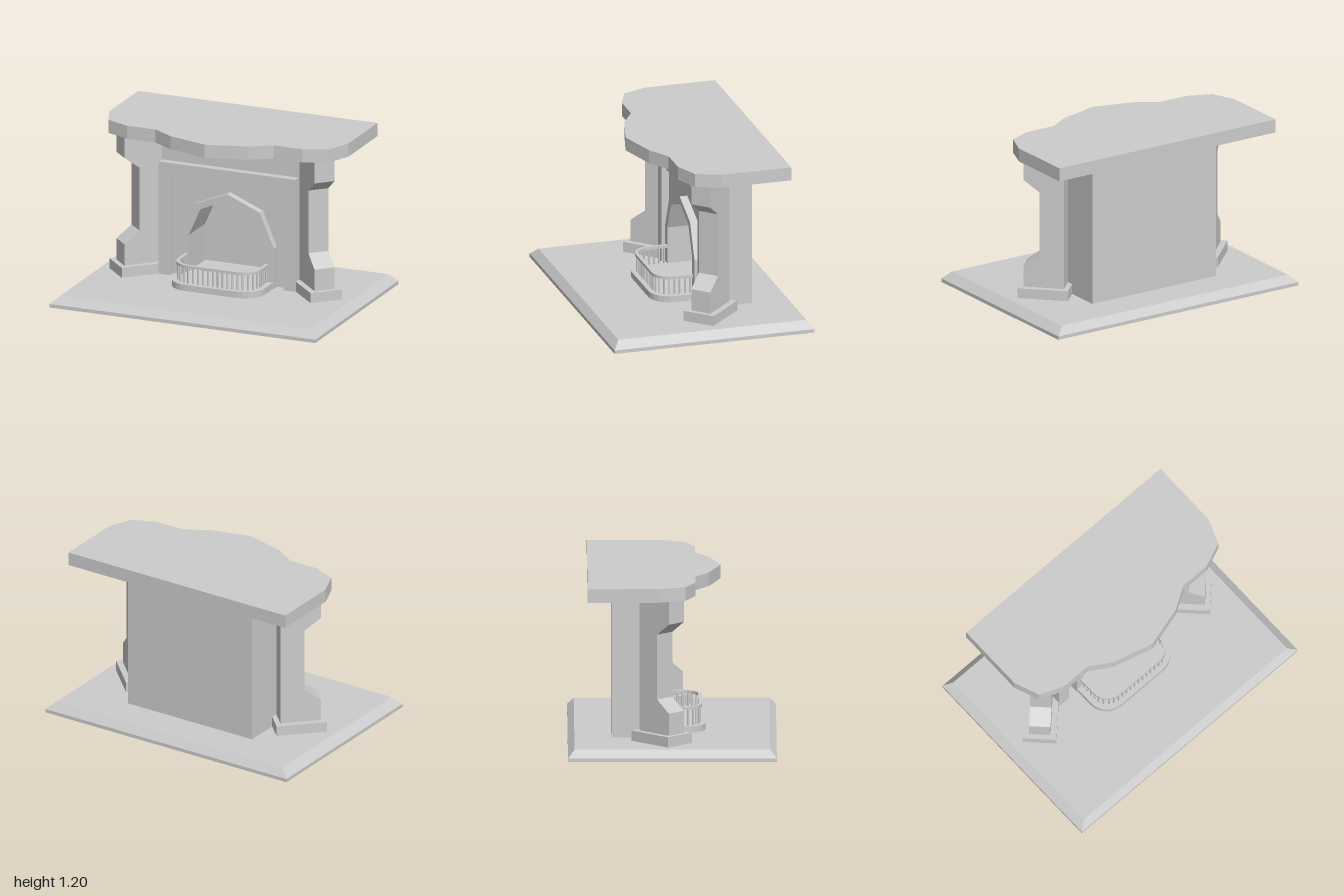
import * as THREE from 'three';

const mat = new THREE.MeshStandardMaterial({ color: 0xcccccc, flatShading: true });

function add(parent, name, geometry) {
  const mesh = new THREE.Mesh(geometry, mat);
  mesh.name = name;
  parent.add(mesh);
  return mesh;
}

// Box given by its minimum and maximum corners
function block(x0, x1, y0, y1, z0, z1) {
  return new THREE.BoxGeometry(x1 - x0, y1 - y0, z1 - z0)
    .translate((x0 + x1) / 2, (y0 + y1) / 2, (z0 + z1) / 2);
}

const shapeOf = (pts) => new THREE.Shape(pts.map(([x, y]) => new THREE.Vector2(x, y)));

// Upright outline in x and y, extruded from z0 to z1
function panel(pts, z0, z1) {
  return new THREE.ExtrudeGeometry(shapeOf(pts), { depth: z1 - z0, bevelEnabled: false }).translate(0, 0, z0);
}

// Flat outline in x and z, extruded from y0 to y1
function slab(pts, y0, y1) {
  return new THREE.ExtrudeGeometry(shapeOf(pts), { depth: y1 - y0, bevelEnabled: false })
    .rotateX(Math.PI / 2).translate(0, y1, 0);
}

// Adds the mirror image of an open outline given on the +x side
function mirrored(pts) {
  const other = pts.filter(([x]) => x > 0).map(([x, y]) => [-x, y]).reverse();
  return [...pts, ...other];
}

// Open U with rounded front corners, running from right back to left back
function uOutline(half, front, radius, back, steps = 6) {
  const pts = [[half, back]];
  for (let i = 0; i <= steps; i++) {
    const a = (i / steps) * Math.PI / 2;
    pts.push([half - radius + radius * Math.cos(a), front - radius + radius * Math.sin(a)]);
  }
  return mirrored(pts);
}

const FLOOR = 0.075;
const WALL = -0.11;
const FACE = -0.055;
const archInner = [[0.29, FLOOR], [0.29, 0.385], [0.202, 0.585], [0, 0.67]];
const archOuter = [[0.35, FLOOR], [0.35, 0.37], [0.245, 0.617], [0, 0.718]];

// Upside-down U: outer outline with the inner outline cut out from below
const archBand = (outer, inner) => [...mirrored(outer), ...mirrored(inner).reverse()];

function makeColumn(side) {
  const column = new THREE.Group();
  column.name = side > 0 ? 'leftColumn' : 'rightColumn';
  const w = 0.074;
  // Side profile with a corbel at the top and a swelling foot
  const profile = [
    [-0.17, 0.15], [0.113, 0.15], [0.113, 0.305], [0, 0.39],
    [0, 0.845], [0.113, 0.93], [0.113, 1.086], [-0.17, 1.086],
  ];
  add(column, 'columnShaft', panel(profile, -w, w));
  add(column, 'columnPlinth', block(-0.206, 0.148, FLOOR, 0.15, -0.1165, 0.1165));
  add(column, 'columnCap', block(-0.185, 0.128, 1.086, 1.1, -w - 0.015, w + 0.015));
  column.position.set(side * 0.6875, 0, -0.0525);
  column.rotation.y = side > 0 ? -Math.PI / 4 : -3 * Math.PI / 4;
  return column;
}

function makeFender() {
  const fender = new THREE.Group();
  fender.name = 'fender';
  // Rail
  const outer = uOutline(0.315, 0.205, 0.13, FACE);
  const inner = uOutline(0.291, 0.181, 0.106, FACE);
  add(fender, 'fenderRail', slab([...outer, ...inner.reverse()], 0.235, 0.255));
  // Evenly spaced bars along the middle of the rail
  const path = new THREE.CurvePath();
  const mid = uOutline(0.303, 0.193, 0.118, FACE).map(([x, z]) => new THREE.Vector3(x, 0, z));
  for (let i = 1; i < mid.length; i++) path.add(new THREE.LineCurve3(mid[i - 1], mid[i]));
  const bar = new THREE.CylinderGeometry(0.007, 0.007, 0.115, 6);
  const count = 27;
  for (let i = 0; i < count; i++) {
    const p = path.getPointAt((i + 0.5) / count);
    add(fender, 'fenderBar', bar).position.set(p.x, 0.18, p.z);
  }
  return fender;
}

export function createModel() {
  const model = new THREE.Group();
  model.name = 'fireplace';

  // Base slab with a chamfered upper edge
  const base = new THREE.BoxGeometry(2, 0.078, 1.44, 1, 2, 1).translate(0, 0.039, 0);
  const p = base.attributes.position;
  for (let i = 0; i < p.count; i++) {
    if (p.getY(i) > 0.06) {
      p.setX(i, Math.sign(p.getX(i)) * 0.94);
      p.setZ(i, Math.sign(p.getZ(i)) * 0.675);
    } else if (p.getY(i) > 0.02) {
      p.setY(i, 0.025);
    }
  }
  const baseFlat = base.toNonIndexed();
  baseFlat.computeVertexNormals();
  add(model, 'baseSlab', baseFlat);

  // Chimney body with an arched firebox
  const bodyOutline = archBand([[0.515, FLOOR], [0.515, 1.1]], archInner);
  add(model, 'chimneyBody', panel(bodyOutline, -0.34, WALL));
  add(model, 'fireboxBack', block(-0.515, 0.515, FLOOR, 1.1, -0.42, -0.34));

  // Raised square frame and arched surround
  const frame = archBand([[0.515, FLOOR], [0.515, 0.89]], [[0.425, FLOOR], [0.425, 0.805]]);
  add(model, 'outerFrame', panel(frame, WALL, FACE));
  add(model, 'archSurround', panel(archBand(archOuter, archInner), WALL, FACE));

  // Hearth running into the firebox
  add(model, 'hearth', slab(uOutline(0.345, 0.23, 0.15, -0.34), FLOOR, 0.123));
  model.add(makeFender());

  for (const side of [1, -1]) model.add(makeColumn(side));

  // Mantel shelf
  const mantel = mirrored([
    [0.9, -0.585], [0.9, -0.085], [0.83, 0.09], [0.66, 0.16], [0.445, 0.16], [0.29, 0.255], [0, 0.335],
  ]);
  add(model, 'mantelShelf', slab(mantel, 1.1, 1.195));

  return model;
}
